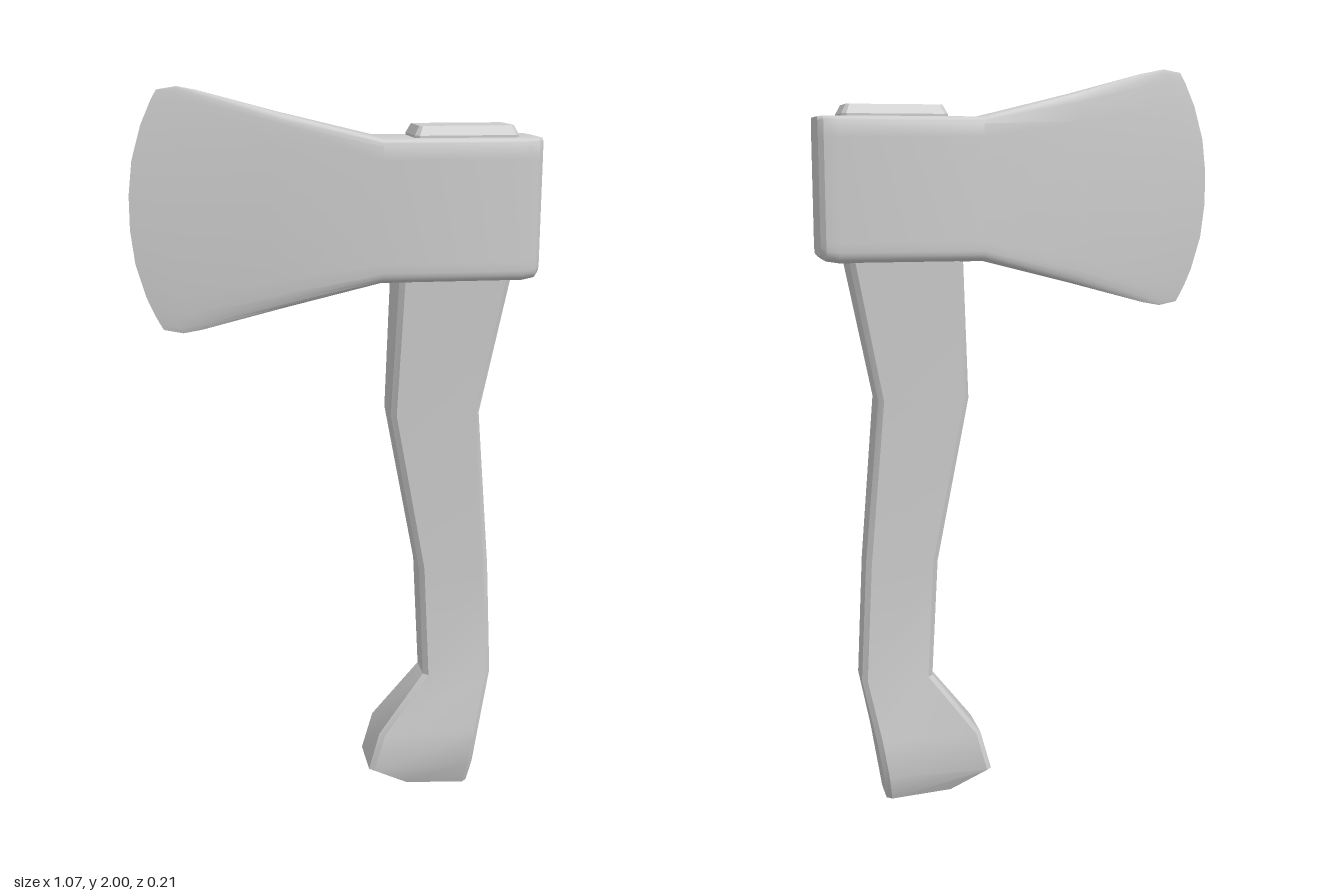
import * as THREE from 'three';
import { toCreasedNormals } from 'three/addons/utils/BufferGeometryUtils.js';

const lerp = THREE.MathUtils.lerp;

// Skin a list of equal-length rings; each ring runs counter-clockwise seen from the far end.
function loft(rings, crease, capEnd = true) {
  const out = [];
  const tri = (a, b, c) => {
    const n = b.clone().sub(a).cross(c.clone().sub(a));
    if (n.length() > 1e-9) for (const p of [a, b, c]) out.push(p.x, p.y, p.z);
  };
  const n = rings[0].length;
  for (let i = 0; i < rings.length - 1; i++) {
    for (let j = 0; j < n; j++) {
      const k = (j + 1) % n;
      const a = rings[i][j], b = rings[i][k], c = rings[i + 1][k], d = rings[i + 1][j];
      tri(a, b, c);
      tri(a, c, d);
    }
  }
  const last = rings[rings.length - 1];
  for (let j = 1; j < n - 1; j++) {
    tri(rings[0][0], rings[0][j + 1], rings[0][j]);
    if (capEnd) tri(last[0], last[j], last[j + 1]);
  }
  const g = new THREE.BufferGeometry();
  g.setAttribute('position', new THREE.Float32BufferAttribute(out, 3));
  return toCreasedNormals(g, crease);
}

// Bevelled rectangle between a left and a right point, hz deep to each side.
function bevelRing([xl, yl, xr, yr, hz], c) {
  const f = c / (xr - xl);
  return [[1, hz - c], [1, c - hz], [1 - f, -hz], [f, -hz], [0, c - hz], [0, hz - c], [f, hz], [1 - f, hz]]
    .map(([t, z]) => new THREE.Vector3(lerp(xl, xr, t), lerp(yl, yr, t), z));
}

// Head section as fractions: u across (-1..1), v up (0..1), rounded at the corners.
function headSection() {
  const W = 0.107, H = 0.37, half = [];
  const corner = (r, bottom) => {
    for (let i = 0; i <= 4; i++) {
      const a = (i / 4) * Math.PI / 2 - (bottom ? Math.PI / 2 : 0);
      const y = bottom ? r + r * Math.sin(a) : H - r + r * Math.sin(a);
      half.push([(W - r + r * Math.cos(a)) / W, y / H]);
    }
  };
  corner(0.028, true);
  for (let i = 1; i < 7; i++) half.push([1, i / 7]);
  corner(0.018, false);
  return [...half, ...half.slice().reverse().map(([u, v]) => [-u, v])];
}

export function createModel() {
  const group = new THREE.Group();
  const material = new THREE.MeshStandardMaterial({ color: 0xcccccc });
  const add = (name, geometry) => {
    const mesh = new THREE.Mesh(geometry, material);
    mesh.name = name;
    group.add(mesh);
  };

  // Curved handle from the knob up into the head: left x, y, right x, y, half depth
  const handle = [
    [0.19, 0.012, 0.385, 0.0, 0.056],
    [0.09, 0.07, 0.395, 0.075, 0.083],
    [0.12, 0.18, 0.412, 0.18, 0.08],
    [0.25, 0.35, 0.447, 0.35, 0.054],
    [0.232, 0.68, 0.43, 0.68, 0.056],
    [0.145, 1.13, 0.39, 1.13, 0.066],
    [0.162, 1.53, 0.467, 1.53, 0.086],
  ];
  add('handle', loft(handle.map((s) => bevelRing(s, 0.014)), 0.45));

  // Head: block at the poll, then a wedge running out to a curved cutting edge
  const section = headSection();
  const poll = [
    [0.535, 0.08, 1.515, 1.868],
    [0.522, 0.097, 1.503, 1.87],
    [0.488, 0.107, 1.498, 1.87],
    [0.11, 0.107, 1.498, 1.87],
  ].map(([x, hz, y0, y1]) => section.map(([u, v]) => new THREE.Vector3(x, lerp(y0, y1, v), u * hz)));
  const edgeX = (v) => -0.54 + 0.08 * Math.abs(2 * v - 1) ** 2.3;
  const wedge = [
    [0.45, 1.431, 1.933],
    [0.82, 1.373, 1.99],
    [0.91, 1.363, 2.0],
    [1, 1.372, 1.992],
  ].map(([s, y0, y1]) => section.map(([u, v]) =>
    new THREE.Vector3(lerp(0.11, edgeX(v), s), lerp(y0, y1, v), u * 0.107 * (1 - s))));
  add('axeHead', loft([...poll, ...wedge], 0.6, false));

  // End of the handle showing through the top of the head
  add('handleTop', loft([
    bevelRing([0.197, 1.85, 0.473, 1.85, 0.078], 0.012),
    bevelRing([0.197, 1.876, 0.473, 1.876, 0.078], 0.012),
    bevelRing([0.21, 1.9, 0.46, 1.9, 0.066], 0.008),
  ], 0.3));

  return group;
}
